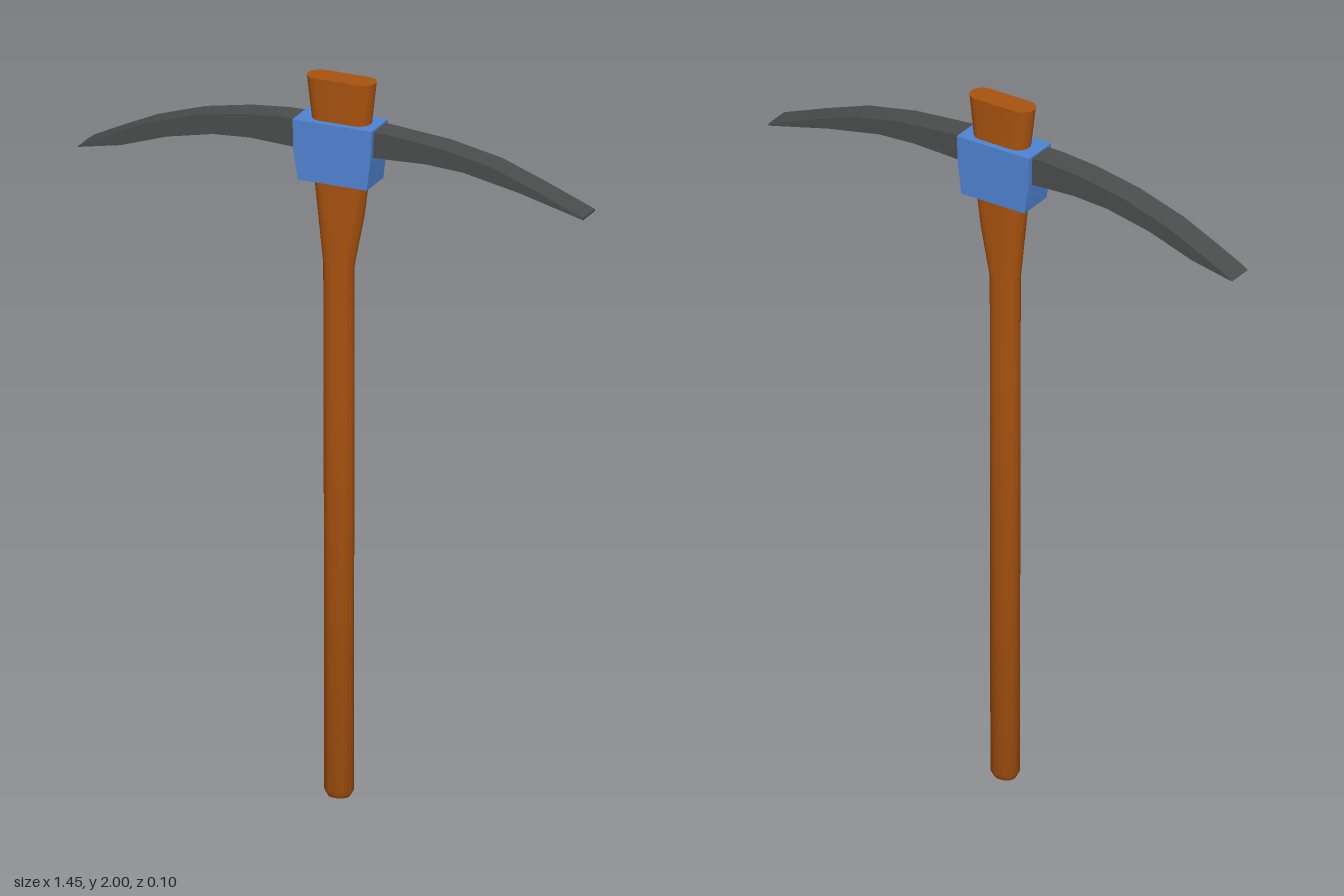
import * as THREE from 'three';
import { toCreasedNormals } from 'three/addons/utils/BufferGeometryUtils.js';

const material = (color) => new THREE.MeshStandardMaterial({ color });

// Side profile extruded to a constant thickness, centred on z = 0
function plate(name, points, thickness, mat) {
  const shape = new THREE.Shape(points.map(([x, y]) => new THREE.Vector2(x, y)));
  const geometry = new THREE.ExtrudeGeometry(shape, { depth: thickness, bevelEnabled: false });
  geometry.translate(0, 0, -thickness / 2);
  const mesh = new THREE.Mesh(toCreasedNormals(geometry, 0.4), mat);
  mesh.name = name;
  return mesh;
}

// Stadium-shaped sections [y, left, right, half depth] joined into a closed solid
function loft(sections) {
  const half = 10, count = 2 * (half + 1);
  const positions = [], index = [];
  for (const [y, left, right, r] of sections) {
    for (let i = 0; i < count; i++) {
      const onRight = i <= half;
      const a = -Math.PI / 2 + (Math.PI * (onRight ? i : i - 1)) / half;
      const cx = onRight ? right - r : left + r;
      positions.push(cx + r * Math.cos(a), y, r * Math.sin(a));
    }
  }
  for (let s = 0; s < sections.length - 1; s++) {
    for (let i = 0; i < count; i++) {
      const j = (i + 1) % count;
      const a = s * count + i, b = s * count + j;
      index.push(a, a + count, b, b, a + count, b + count);
    }
  }
  const top = (sections.length - 1) * count;
  for (let i = 1; i < count - 1; i++) {
    index.push(0, i, i + 1, top, top + i + 1, top + i);
  }
  const geometry = new THREE.BufferGeometry();
  geometry.setAttribute('position', new THREE.Float32BufferAttribute(positions, 3));
  geometry.setIndex(index);
  return toCreasedNormals(geometry, 0.6);
}

export function createModel() {
  const group = new THREE.Group();
  const wood = material(0xa8520f);
  const steel = material(0x4a4d4c);
  const blue = material(0x5083d2);

  // Handle: chamfered foot, straight grip, flared oval eye
  const handle = new THREE.Mesh(loft([
    [0, -0.022, 0.037, 0.025],
    [0.018, -0.032, 0.047, 0.034],
    [1.19, -0.034, 0.048, 0.034],
    [1.48, -0.035, 0.049, 0.034],
    [1.62, -0.05, 0.077, 0.034],
    [1.72, -0.061, 0.09, 0.034],
    [1.88, -0.067, 0.098, 0.034],
    [2, -0.082, 0.112, 0.034],
  ]), wood);
  handle.name = 'handle';
  group.add(handle);

  // Collar clamping the head to the handle
  group.add(plate('collar', [
    [-0.087, 1.718], [0.11, 1.718], [0.121, 1.81], [0.124, 1.884],
    [-0.102, 1.884], [-0.1, 1.8],
  ], 0.104, blue));

  // Curved blades, each listed along its underside then back along its top
  group.add(plate('rightBlade', [
    [-0.725, 1.702], [-0.6, 1.727], [-0.468, 1.772], [-0.336, 1.8], [-0.23, 1.807], [-0.08, 1.8],
    [-0.08, 1.88], [-0.15, 1.879], [-0.257, 1.869], [-0.39, 1.844], [-0.527, 1.8], [-0.627, 1.754],
    [-0.71, 1.713],
  ], 0.074, steel));
  group.add(plate('leftBlade', [
    [0.1, 1.805], [0.27, 1.812], [0.378, 1.806], [0.537, 1.775], [0.722, 1.728],
    [0.722, 1.734], [0.59, 1.786], [0.458, 1.834], [0.31, 1.863], [0.1, 1.881],
  ], 0.074, steel));

  return group;
}
